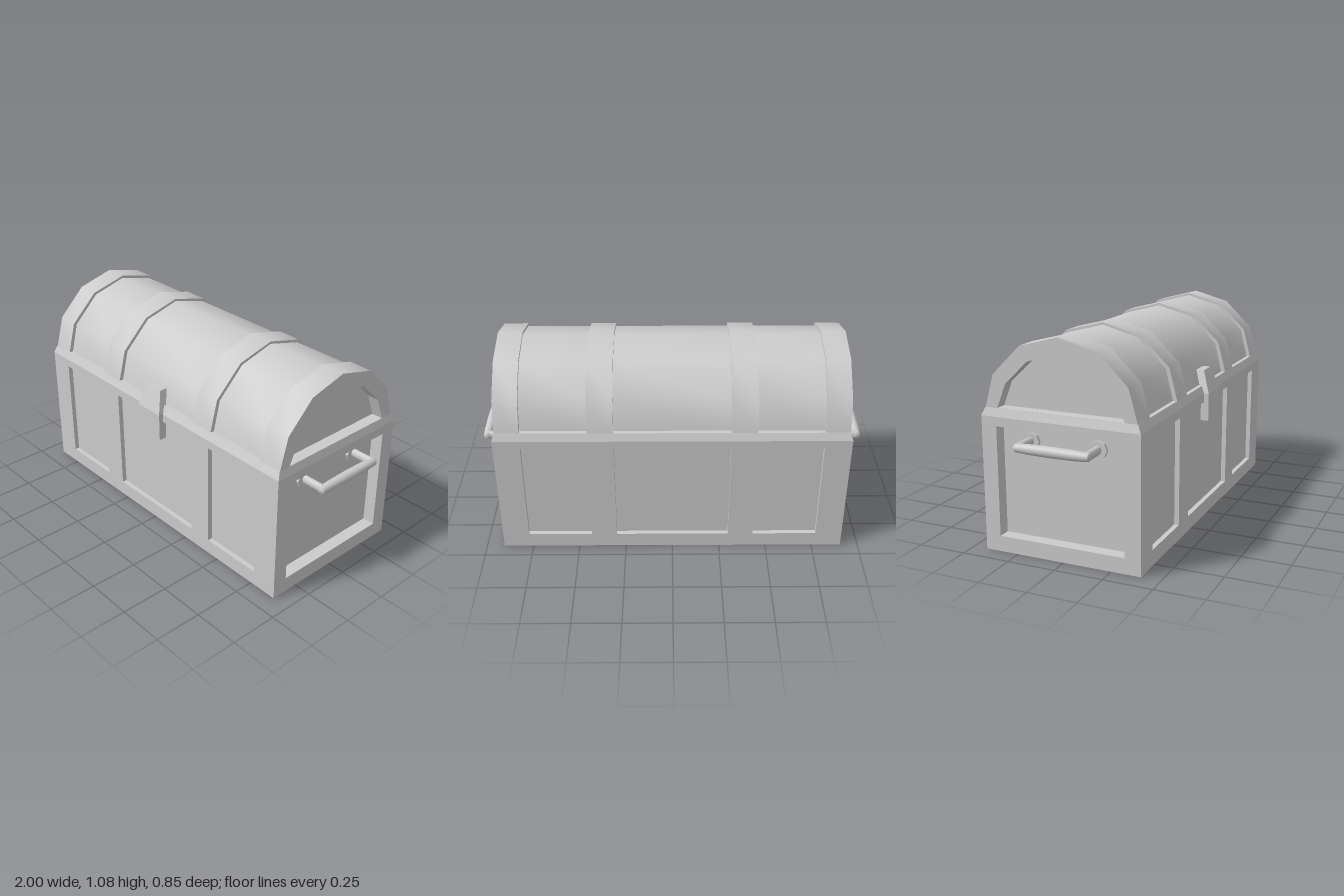
import * as THREE from 'three';

const mat = new THREE.MeshStandardMaterial({ color: 0xcccccc, side: THREE.DoubleSide });
const HX = 0.907, HZ = 0.4125;      // body half sizes
const RIM = 0.68, LID = 0.72;       // rim heights
const LIDX = 0.895;                 // lid half length
const PANELS = [[-0.768, -0.43], [-0.297, 0.297], [0.43, 0.768]];

function add(parent, name, geo) {
  const mesh = new THREE.Mesh(geo, mat);
  mesh.name = name;
  parent.add(mesh);
  return mesh;
}

// Surface through rows of points
function loft(rows, smooth = false) {
  const index = [];
  const n = rows[0].length;
  for (let r = 0; r < rows.length - 1; r++) {
    for (let i = 0; i < n - 1; i++) {
      const a = r * n + i, b = a + n;
      index.push(a, a + 1, b + 1, a, b + 1, b);
    }
  }
  let geo = new THREE.BufferGeometry();
  geo.setAttribute('position', new THREE.Float32BufferAttribute(rows.flat(2), 3));
  geo.setIndex(index);
  if (!smooth) geo = geo.toNonIndexed();
  geo.computeVertexNormals();
  return geo;
}

const toShape = (pts) => new THREE.Shape(pts.map(([x, y]) => new THREE.Vector2(x, y)));
const rect = (x0, x1, y0, y1) => [[x0, y0], [x1, y0], [x1, y1], [x0, y1]];
// Closed horizontal rectangle of points
const ring = (x, y, z0, z1) => [[-x, y, z1], [x, y, z1], [x, y, z0], [-x, y, z0], [-x, y, z1]];

// Flat wall skin with sunken panels
function panelledWall(name, outline, holes, depth) {
  const wall = new THREE.Group();
  wall.name = name;
  const face = toShape(outline);
  face.holes = holes.map(toShape);
  add(wall, 'frame', new THREE.ShapeGeometry(face));
  for (const hole of holes) {
    const loop = [...hole, hole[0]];
    add(wall, 'panelEdge', loft([0, -depth].map((z) => loop.map(([x, y]) => [x, y, z]))));
    add(wall, 'panel', new THREE.ShapeGeometry(toShape(hole))).position.z = -depth;
  }
  return wall;
}

// Arch profiles from back to front as [z, y]
const arch = (half) => [...half.map(([z, y]) => [-z, y]), ...half.slice(0, -1).reverse()];
const OUTER = arch([[0.397, LID], [0.355, 0.882], [0.203, 1.029], [0, 1.081]]);
const END = arch([[0.393, LID], [0.348, 0.882], [0.2, 1.028], [0, 1.081]]);
const INNER = arch([[0.375, LID], [0.336, 0.875], [0.192, 1.017], [0, 1.068]]);
const END_PANEL = arch([[0.329, LID + 0.001], [0.281, 0.843], [0.162, 0.957], [0, 1.009]]);
const at = (profile, x) => profile.map(([z, y]) => [x, y, z]);

function makeBody() {
  const body = new THREE.Group();
  body.name = 'body';
  const holes = PANELS.map(([a, b]) => rect(a, b, 0.08, 0.636));
  for (const s of [1, -1]) {
    const long = panelledWall(s > 0 ? 'frontWall' : 'backWall', rect(-HX, HX, 0, RIM), holes, 0.025);
    long.position.z = s * HZ;
    long.rotation.y = s > 0 ? 0 : Math.PI;
    const end = panelledWall(s > 0 ? 'leftWall' : 'rightWall', rect(-HZ, HZ, 0, RIM),
      [rect(-0.332, 0.332, 0.08, 0.634)], 0.065);
    end.position.x = s * HX;
    end.rotation.y = s * Math.PI / 2;
    body.add(long, end);
  }
  // raised floor
  const floor = add(body, 'floor', new THREE.PlaneGeometry(2 * (HX - 0.067), 2 * (HZ - 0.027)));
  floor.rotation.x = Math.PI / 2;
  floor.position.y = 0.152;
  // sloping rim under the lid
  add(body, 'rim', loft([ring(HX, RIM, -HZ, HZ), ring(LIDX, LID, -0.395, 0.395)]));
  return body;
}

function makeLid() {
  const lid = new THREE.Group();
  lid.name = 'lid';
  // raised bands, the outer two drawn in slightly at the ends
  const stops = [-LIDX, ...PANELS.flat(), LIDX];
  for (let i = 0; i < stops.length; i += 2) {
    const pair = [stops[i], stops[i + 1]];
    add(lid, 'band', loft(pair.map((x) => at(Math.abs(x) === LIDX ? END : OUTER, x)), true));
  }
  // sunken panels with side steps and bottom ledges
  for (const [x0, x1] of PANELS) {
    add(lid, 'lidPanel', loft([at(INNER, x0), at(INNER, x1)], true));
    add(lid, 'bandEdge', loft([at(OUTER, x0), at(INNER, x0)]));
    add(lid, 'bandEdge', loft([at(INNER, x1), at(OUTER, x1)]));
    const row = (z) => [[x0, LID, z], [x1, LID, z]];
    add(lid, 'ledge', loft([row(0.397), row(0.375)]));
    add(lid, 'ledge', loft([row(-0.375), row(-0.397)]));
  }
  // arched ends
  for (const s of [1, -1]) {
    const end = panelledWall(s > 0 ? 'leftLidEnd' : 'rightLidEnd',
      [...END].reverse(), [[...END_PANEL].reverse()], 0.06);
    end.position.x = s * LIDX;
    end.rotation.y = s * Math.PI / 2;
    lid.add(end);
  }
  return lid;
}

function makeHandle(name) {
  const handle = new THREE.Group();
  handle.name = name;
  const y = 0.565;
  for (const s of [1, -1]) {
    const mount = add(handle, 'mount', new THREE.CylinderGeometry(0.045, 0.045, 0.016, 8).toNonIndexed());
    mount.geometry.computeVertexNormals();
    mount.rotation.z = -Math.PI / 2;
    mount.position.set(HX - 0.058, y, s * 0.177);
    // oval arm, taller than wide
    const arm = add(handle, 'arm', new THREE.CylinderGeometry(0.023, 0.023, 0.13, 12));
    arm.rotation.z = -Math.PI / 2;
    arm.scale.z = 0.78;
    arm.position.set(HX, y, s * 0.177);
  }
  // grip, thicker in the middle
  const half = [[0, 0.197], [0.016, 0.195], [0.021, 0.187], [0.025, 0.12], [0.027, 0]];
  const profile = [...half.map(([r, h]) => [r, -h]), ...half.slice(0, -1).reverse()];
  const grip = add(handle, 'grip', new THREE.LatheGeometry(profile.map(([r, h]) => new THREE.Vector2(r, h)), 14));
  grip.rotation.x = Math.PI / 2;
  grip.position.set(0.973, y, 0);
  return handle;
}

// Clasp: straight plate that leans back and narrows above the rim
function makeClasp() {
  const clasp = new THREE.Group();
  clasp.name = 'clasp';
  const rings = [
    ring(0.085, 0.538, 0.395, 0.4375),
    ring(0.085, 0.683, 0.395, 0.4375),
    ring(0.05, 0.798, 0.355, 0.397),
  ];
  add(clasp, 'plate', loft(rings));
  const cap = ([a, b, c, d]) => loft([[a, b], [d, c]]);
  add(clasp, 'plateTop', cap(rings[2]));
  add(clasp, 'plateBottom', cap([...rings[0].slice(0, 4)].reverse()));
  return clasp;
}

export function createModel() {
  const chest = new THREE.Group();
  chest.name = 'chest';
  const box = new THREE.Group();
  box.name = 'box';
  const rightHandle = makeHandle('rightHandle');
  rightHandle.rotation.y = Math.PI;
  box.add(makeBody(), makeLid(), makeHandle('leftHandle'), rightHandle, makeClasp());
  box.position.z = -0.0125;
  chest.add(box);
  return chest;
}
